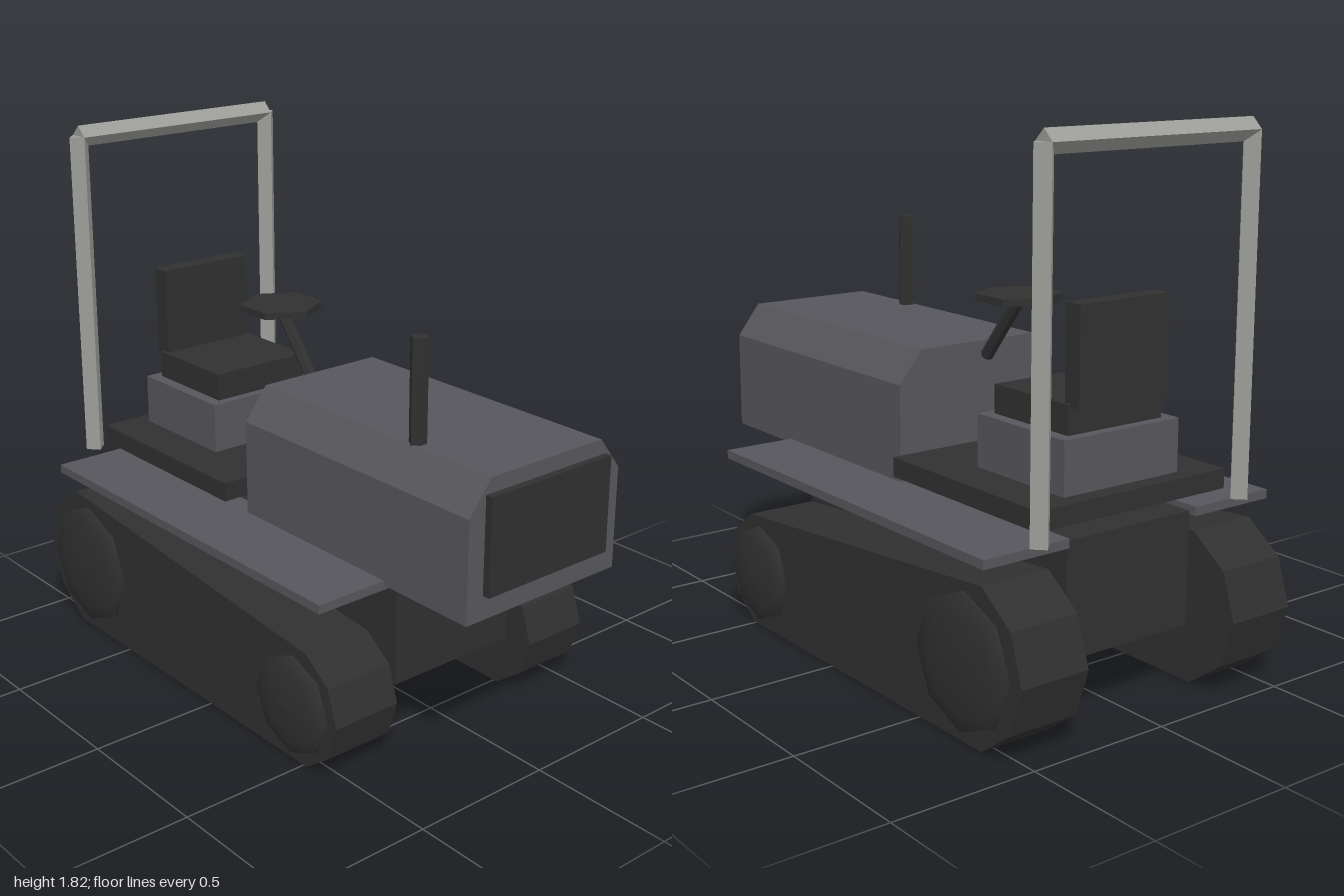
import * as THREE from 'three';

export function createModel() {
  const model = new THREE.Group();
  model.name = 'crawlerTractor';

  const mat = (name, color) => {
    const m = new THREE.MeshStandardMaterial({ color });
    m.name = name;
    return m;
  };
  const dark = mat('charcoal', 0x303030);
  const paint = mat('greyPaint', 0x57565c);
  const steel = mat('lightSteel', 0x9c9c98);

  const add = (name, geometry, material, x = 0, y = 0, z = 0) => {
    const mesh = new THREE.Mesh(geometry, material);
    mesh.name = name;
    mesh.position.set(x, y, z);
    model.add(mesh);
    return mesh;
  };
  // Box given by its extents on each axis
  const box = (name, material, [x0, x1], [y0, y1], [z0, z1]) =>
    add(name, new THREE.BoxGeometry(x1 - x0, y1 - y0, z1 - z0), material,
      (x0 + x1) / 2, (y0 + y1) / 2, (z0 + z1) / 2);
  // Faceted rod between two points
  const rod = (name, material, a, b, radius, sides) => {
    const from = new THREE.Vector3(...a), to = new THREE.Vector3(...b);
    const dir = to.clone().sub(from);
    const geo = new THREE.CylinderGeometry(radius, radius, dir.length(), sides).toNonIndexed();
    geo.computeVertexNormals();
    const mid = from.add(to).multiplyScalar(0.5);
    const mesh = add(name, geo, material, mid.x, mid.y, mid.z);
    mesh.quaternion.setFromUnitVectors(new THREE.Vector3(0, 1, 0), dir.normalize());
    return mesh;
  };
  const extrude = (points, depth) => new THREE.ExtrudeGeometry(
    new THREE.Shape(points.map(p => new THREE.Vector2(...p))), { depth, bevelEnabled: false });

  // Track outline: two ten-sided wheels joined by straight runs
  const arc = (cx, cy, r, first, last) => {
    const points = [];
    for (let i = first; i <= last; i++) {
      const a = i * Math.PI / 5;
      points.push([cx + r * Math.cos(a), cy + r * Math.sin(a)]);
    }
    return points;
  };
  const wheels = [['rear', -0.73, 0.26, 0.22], ['front', 0.45, 0.2, 0.17]];
  const trackShape = [...arc(0.45, 0.2, 0.21, -2, 2), ...arc(-0.73, 0.26, 0.27, 3, 8)];

  for (const [side, s] of [['left', 1], ['right', -1]]) {
    add(side + 'Track', extrude(trackShape, 0.25), dark, 0, 0, s > 0 ? 0.3 : -0.55);
    // Domed wheel hubs
    for (const [end, x, y, r] of wheels) {
      const profile = [[1, 0], [1, 0.017], [0.75, 0.031], [0.4, 0.041], [0, 0.045]]
        .map(([k, h]) => new THREE.Vector2(r * k, h));
      const hub = add(`${side}${end}Hub`, new THREE.LatheGeometry(profile, 8), dark, x, y, s * 0.549);
      hub.rotation.x = s * Math.PI / 2;
    }
    box(side + 'Fender', paint, [-0.86, 0.615], [0.585, 0.615], s > 0 ? [0.26, 0.58] : [-0.58, -0.26]);
    // Diamond-section roll bar post
    rod(side + 'RollBarPost', steel, [-0.9, 0.63, s * 0.407], [-0.9, 1.783, s * 0.407], 0.037, 4);
  }
  rod('rollBarTop', steel, [-0.9, 1.783, -0.407], [-0.9, 1.783, 0.407], 0.037, 4);

  // Chassis and driver's platform
  box('chassis', dark, [-0.84, 0.595], [0.22, 0.6], [-0.25, 0.25]);
  box('platform', dark, [-0.86, -0.125], [0.655, 0.72], [-0.38, 0.38]);

  // Engine hood with chamfered top edges
  const hood = extrude([[-0.32, 0.6], [0.32, 0.6], [0.32, 0.94], [0.235, 1.05], [-0.235, 1.05], [-0.32, 0.94]], 1.055);
  hood.rotateY(Math.PI / 2);
  add('hood', hood, paint, -0.08);
  box('grille', dark, [0.97, 1], [0.68, 1], [-0.255, 0.255]);
  rod('exhaust', dark, [0.637, 1.04, 0.21], [0.637, 1.385, 0.21], 0.029, 6);

  // Seat
  box('seatBase', paint, [-0.8, -0.38], [0.72, 0.895], [-0.232, 0.232]);
  box('seatCushion', dark, [-0.765, -0.412], [0.895, 0.99], [-0.19, 0.19]);
  box('seatBack', dark, [-0.8, -0.735], [0.975, 1.295], [-0.178, 0.178]);

  // Steering
  rod('steeringColumn', dark, [-0.295, 1.222, 0], [-0.125, 1.008, 0], 0.022, 6);
  const wheel = rod('steeringWheel', dark, [-0.295, 1.22, 0], [-0.295, 1.243, 0], 0.143, 6);
  wheel.rotation.y = Math.PI / 6;

  return model;
}
